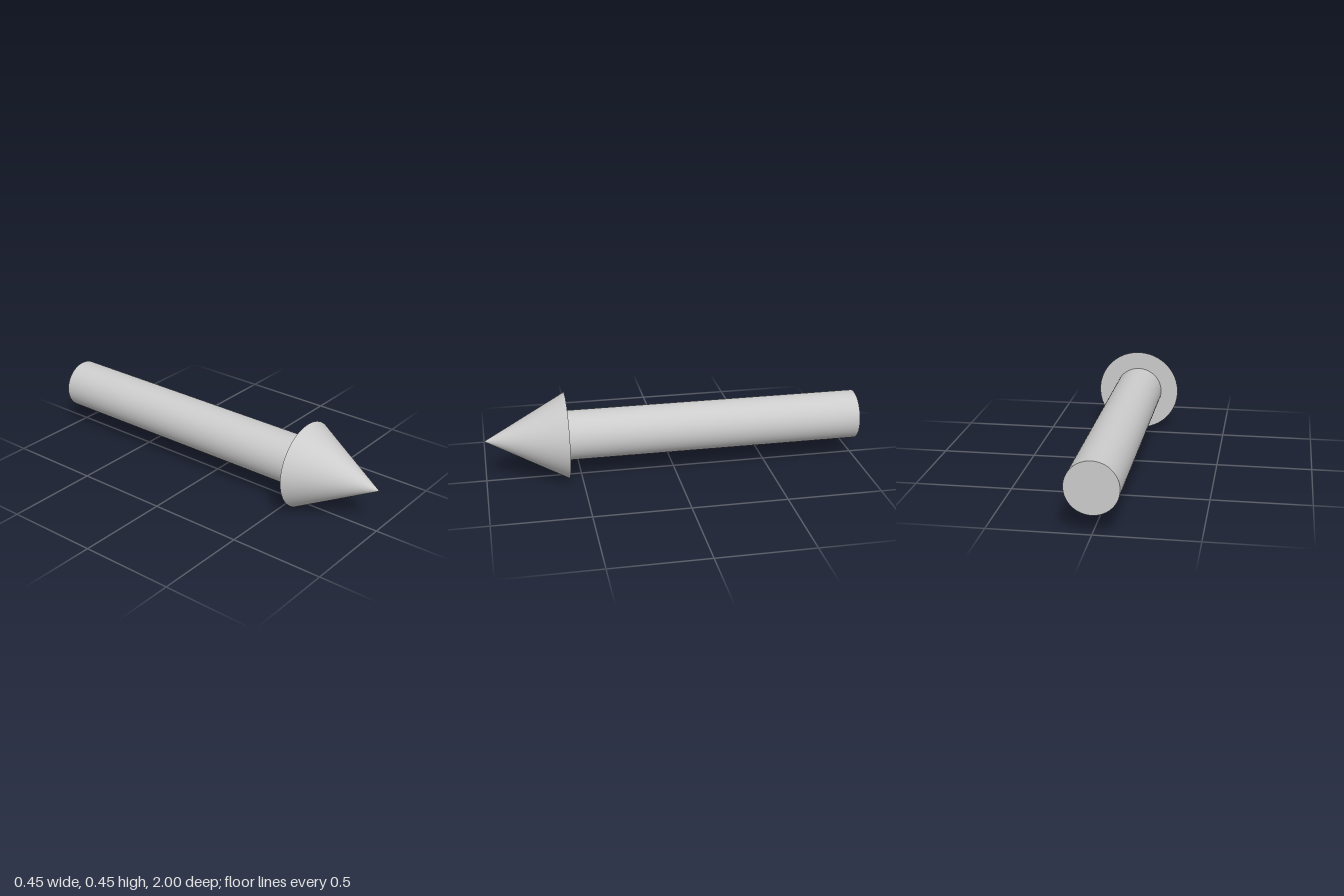
import * as THREE from 'three';

const HEAD_RADIUS = 0.227;
const SHAFT_RADIUS = 0.131;
const HEAD_BASE_Z = 0.572;
const SEGMENTS = 96;

export function createModel() {
  const group = new THREE.Group();
  group.name = 'arrow';
  const material = new THREE.MeshStandardMaterial({ color: 0xcccccc });

  // Lays a y-axis solid along z, spanning zBack to zFront
  const addPart = (name, radiusFront, radiusBack, zBack, zFront) => {
    const geometry = new THREE.CylinderGeometry(radiusFront, radiusBack, zFront - zBack, SEGMENTS);
    geometry.rotateX(Math.PI / 2);
    const mesh = new THREE.Mesh(geometry, material);
    mesh.name = name;
    mesh.position.set(0, HEAD_RADIUS, (zBack + zFront) / 2);
    group.add(mesh);
  };

  // Round shaft with a flat back end
  addPart('shaft', SHAFT_RADIUS, SHAFT_RADIUS, -1, HEAD_BASE_Z);

  // Conical head pointing forward
  addPart('arrowHead', 0, HEAD_RADIUS, HEAD_BASE_Z, 1);

  return group;
}
